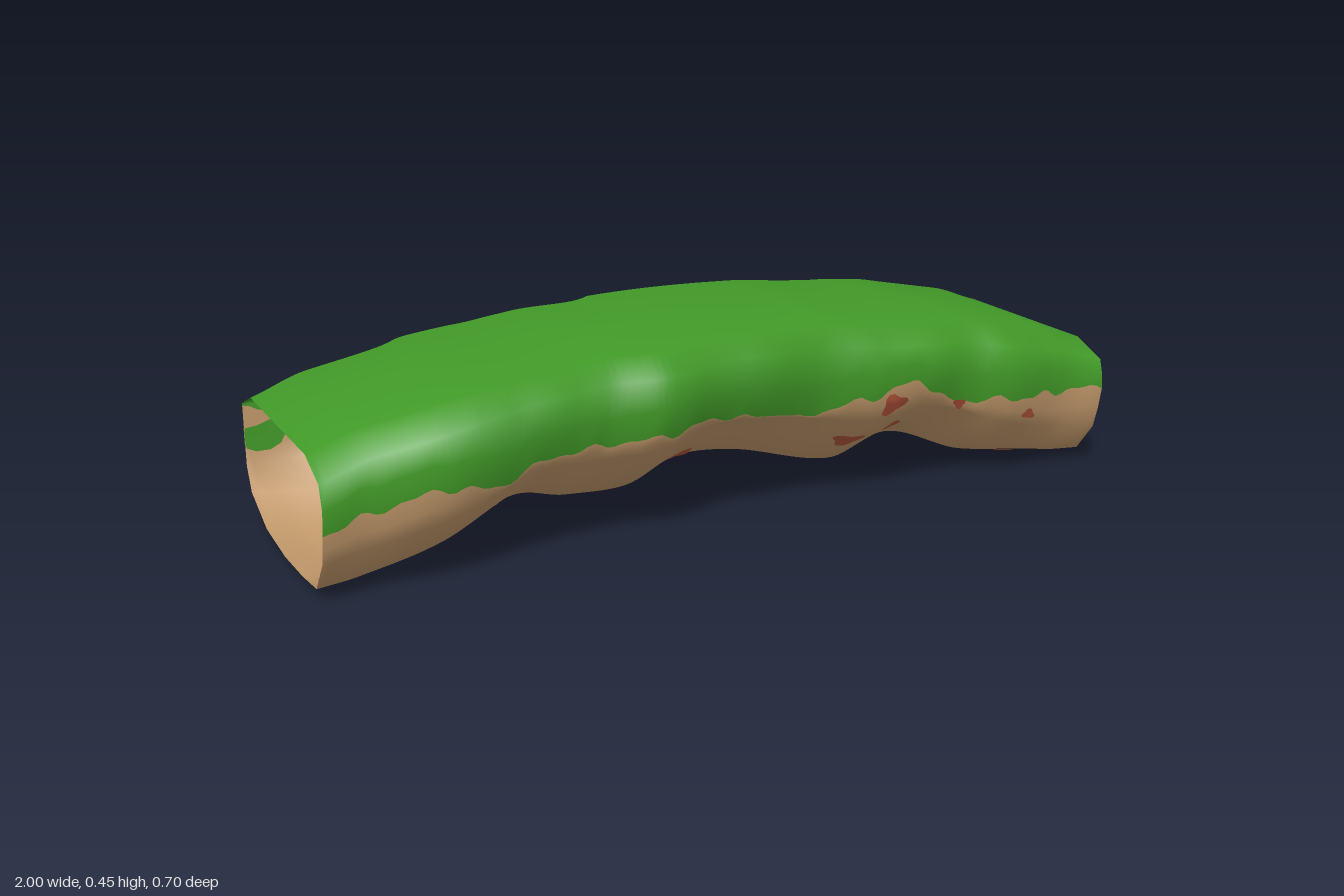
import * as THREE from 'three';
import { mergeGeometries } from 'three/addons/utils/BufferGeometryUtils.js';

// Profiles along the length: [x, value]
const TOP = [[-1, .32], [-.87, .365], [-.65, .41], [-.5, .425], [-.25, .448], [0, .455],
  [.25, .448], [.5, .425], [.65, .41], [.87, .365], [1, .32]];
const BOTTOM = [[-1, .012], [-.9, .002], [-.72, .025], [-.5, .105], [-.37, .08], [-.22, .08], [-.08, .13],
  [.05, .125], [.34, .057], [.5, .105], [.72, .028], [.9, .002], [1, .012]];
const FRONT = [[-1, .335], [-.9, .325], [-.73, .348], [-.5, .33], [-.35, .312], [-.22, .342], [-.08, .318],
  [.05, .318], [.2, .302], [.35, .32], [.5, .332], [.6, .325], [.72, .348], [.9, .322], [1, .335]];
const BACK = [[-1, .303], [-.88, .3], [-.7, .272], [-.58, .342], [-.5, .303], [-.36, .308], [-.2, .276], [-.08, .35],
  [.05, .325], [.11, .308], [.21, .342], [.3, .295], [.5, .3], [.57, .342], [.7, .274], [.88, .303], [1, .305]];

// Height of the grass edge as a fraction of the section
const GRASS_FRONT = [[-1, .53], [-.85, .57], [-.73, .57], [-.6, .41], [-.5, .46], [-.35, .5], [-.2, .5], [0, .42],
  [.12, .37], [.3, .54], [.44, .62], [.55, .44], [.7, .52], [.85, .58], [1, .66]];
const GRASS_BACK = [[-1, .83], [-.88, .74], [-.75, .58], [-.5, .55], [-.25, .6], [0, .54], [.25, .6],
  [.5, .56], [.71, .62], [.76, .84], [1, .84]];

// Half sections from the underside centre to the top centre: [width fraction, height fraction]
const SECTIONS = {
  front: {
    end: [[0, 0], [.42, .02], [.75, .06], [.92, .3], [.97, .5], [1, .7], [.95, .88], [.68, 1], [0, 1]],
    middle: [[0, 0], [.31, .01], [.62, .24], [.87, .4], [.97, .54], [1, .7], [.99, .88], [.82, 1], [0, 1]],
  },
  back: {
    end: [[0, 0], [.5, .04], [.9, .2], [1, .38], [1, .55], [1, .72], [1, .88], [.71, 1], [0, 1]],
    middle: [[0, 0], [.2, .02], [.48, .19], [.98, .33], [1, .52], [1, .72], [1, .9], [.82, 1], [0, 1]],
  },
};
const LAST = 8;

// Softened interpolation through uneven points
function sample(p, x) {
  let i = 0;
  while (i < p.length - 2 && x > p[i + 1][0]) i++;
  const slope = k => {
    const a = p[Math.max(k - 1, 0)], b = p[Math.min(k + 1, p.length - 1)];
    return .8 * (b[1] - a[1]) / (b[0] - a[0]);
  };
  const h = p[i + 1][0] - p[i][0], u = (x - p[i][0]) / h, v = 1 - u;
  return p[i][1] * v * v * (1 + 2 * u) + p[i + 1][1] * u * u * (1 + 2 * v)
    + h * u * v * (slope(i) * v - slope(i + 1) * u);
}

// Half section at x, blended from the ends to the middle of the arch
function halfSection(x, side) {
  const { end, middle } = side > 0 ? SECTIONS.front : SECTIONS.back, m = 1 - x * x;
  return end.map((e, k) => e.map((value, c) => value + (middle[k][c] - value) * m));
}

// Surface point at length x and half-section parameter s (0 underside to 8 top)
function surfacePoint(x, s, side) {
  const half = halfSection(x, side), k = Math.min(Math.floor(s), LAST - 1), f = s - k;
  const w = half[k][0] + (half[k + 1][0] - half[k][0]) * f;
  const t = half[k][1] + (half[k + 1][1] - half[k][1]) * f;
  let reach = sample(side > 0 ? FRONT : BACK, x);
  if (side < 0 && reach > .305) reach = .305 + (reach - .305) * THREE.MathUtils.clamp((6 - s) / 2, 0, 1);
  const low = sample(BOTTOM, x);
  return new THREE.Vector3(x, low + (sample(TOP, x) - low) * t, side * w * reach);
}

// Parameter s at which the ragged grass edge runs
function grassEdge(x, side) {
  const rag = .02 * Math.sin(x * 47 + side) + .015 * Math.sin(x * 83 + 2);
  const t = sample(side > 0 ? GRASS_FRONT : GRASS_BACK, x) + rag;
  const half = halfSection(x, side);
  let k = 0;
  while (k < 6 && half[k + 1][1] < t) k++;
  return THREE.MathUtils.clamp(k + (t - half[k][1]) / (half[k + 1][1] - half[k][1]), 3.1, 5.85);
}

// Flat irregular patch draped on both faces of the shell
function patch(x0, s0, side, rx, rs) {
  const n = 18, parts = [];
  const at = (a, r) => surfacePoint(
    THREE.MathUtils.clamp(x0 + rx * r * Math.cos(a), -1, 1),
    THREE.MathUtils.clamp(s0 + rs * r * Math.sin(a), 0, LAST), side);
  const c = at(0, 0);
  const normal = at(0, .3).sub(c).cross(at(Math.PI / 2, .3).sub(c)).normalize().multiplyScalar(side);
  for (const lift of [.004, -.004]) {
    const pos = [], index = [];
    const add = p => pos.push(...p.addScaledVector(normal, lift).toArray());
    add(c.clone());
    for (const r of [.5, 1]) for (let i = 0; i < n; i++) {
      const a = i / n * Math.PI * 2;
      add(at(a, r * (.8 + .2 * Math.sin(a * 3 + x0 * 20))));
    }
    for (let i = 0; i < n; i++) {
      const j = (i + 1) % n, a = 1 + i, b = 1 + j;
      for (const tri of [[0, a, b], [a, a + n, b + n], [a, b + n, b]])
        index.push(...(side > 0 ? tri : tri.reverse()));
    }
    const g = new THREE.BufferGeometry();
    g.setAttribute('position', new THREE.Float32BufferAttribute(pos, 3));
    g.setIndex(index);
    g.computeVertexNormals();
    parts.push(g);
  }
  return mergeGeometries(parts);
}

export function createModel() {
  const group = new THREE.Group();
  const material = (name, color) => {
    const m = new THREE.MeshStandardMaterial({ color, side: THREE.DoubleSide });
    m.name = name;
    return m;
  };
  const grass = material('grass green', 0x429a28);
  const dirt = material('earth brown', 0xc1986a);
  const clay = material('clay red', 0xb2543a);

  // Arched open tube: rings run up the front, over the top and down the back,
  // with rows on the section corners and on the grass edge
  const rows = e => [0, 1, 2, 3, (3 + e) / 2, e, (e + 6) / 2, 6, 7, 8];
  const STATIONS = 120, EDGE = 5, HALF = 9, RING = HALF * 2;
  const pos = [], all = [], grassIndex = [], dirtIndex = [];
  for (let i = 0; i <= STATIONS; i++) {
    const x = -1 + 2 * i / STATIONS;
    const front = rows(grassEdge(x, 1)), back = rows(grassEdge(x, -1));
    for (let j = 0; j < RING; j++) {
      const p = j <= HALF ? surfacePoint(x, front[j], 1) : surfacePoint(x, back[RING - j], -1);
      pos.push(...p.toArray());
    }
  }
  for (let i = 0; i < STATIONS; i++) for (let j = 0; j < RING; j++) {
    const a = i * RING + j, b = a + RING, d = i * RING + (j + 1) % RING, c = d + RING;
    const cell = [a, b, c, a, c, d];
    all.push(...cell);
    (j >= EDGE && j < RING - EDGE ? grassIndex : dirtIndex).push(...cell);
  }
  const shell = new THREE.BufferGeometry();
  shell.setAttribute('position', new THREE.Float32BufferAttribute(pos, 3));
  shell.setIndex(all);
  shell.computeVertexNormals();

  const addMesh = (name, geometry, mat) => {
    const mesh = new THREE.Mesh(geometry, mat);
    mesh.name = name;
    group.add(mesh);
  };
  // Grass and earth share the shell's vertices so the shading runs through
  for (const [name, index, mat] of [['grassTop', grassIndex, grass], ['earthUnderside', dirtIndex, dirt]]) {
    const g = shell.clone();
    g.setIndex(index);
    addMesh(name, g, mat);
  }

  // Grass tufts at the back corners
  addMesh('grassTufts', mergeGeometries([patch(.98, 4.2, -1, .04, .4), patch(-.96, 4.3, -1, .1, .75)]), grass);

  // Clay stains: x, section parameter, side, radii
  const stains = [
    [.39, 3.75, 1, .038, .6], [.585, 3.35, 1, .02, .3], [.78, 3.5, 1, .025, .25], [.44, 2.2, 1, .025, .3],
    [.33, 2, 1, .05, .3], [-.95, 1.5, 1, .035, .3], [-.62, 1, 1, .09, .35], [.16, .4, -1, .07, .5],
    [-.08, 1.2, 1, .035, .2], [.82, 1.5, 1, .03, .3],
  ];
  addMesh('clayStains', mergeGeometries(stains.map(s => patch(...s))), clay);
  return group;
}
